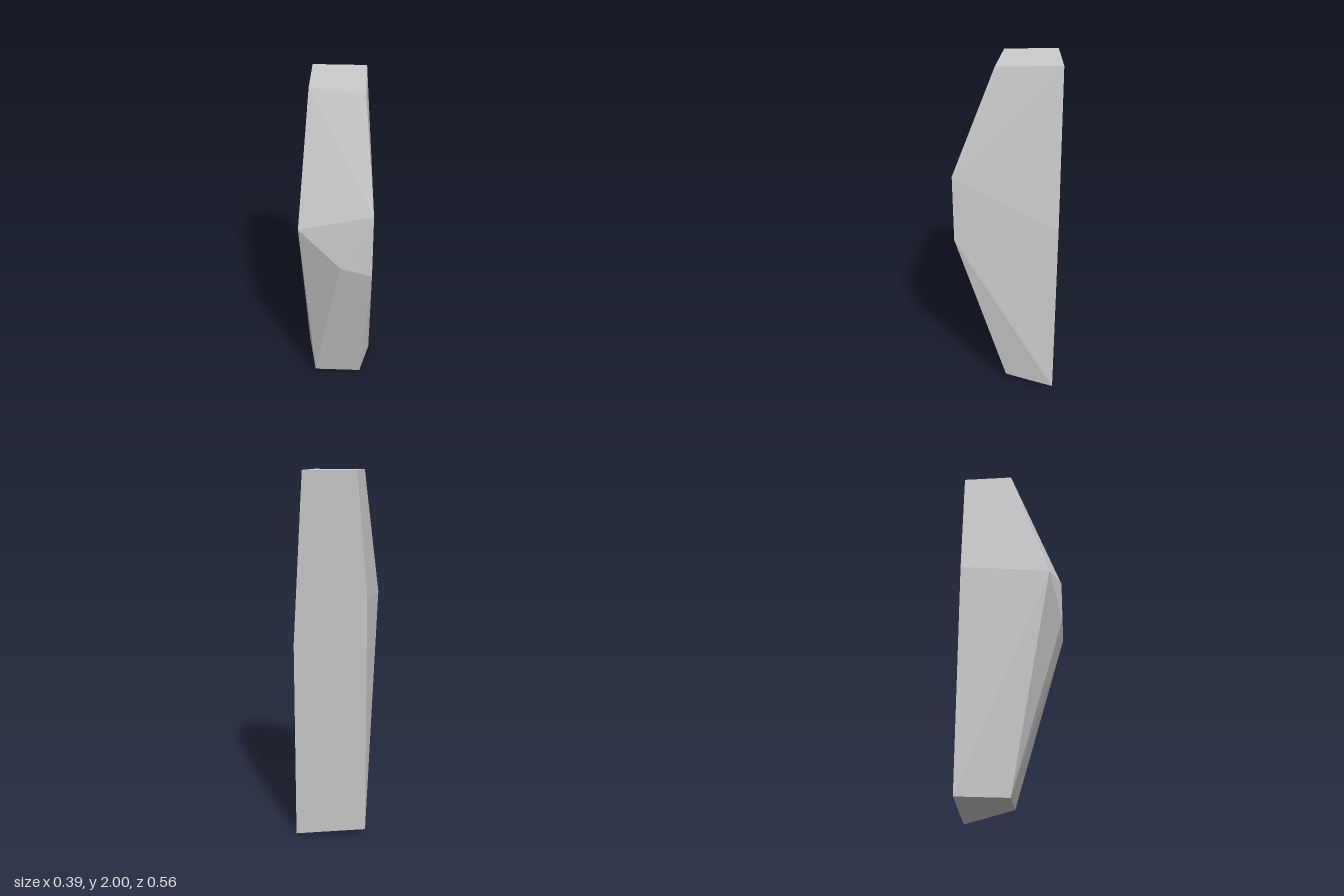
import * as THREE from 'three';
import { ConvexGeometry } from 'three/addons/geometries/ConvexGeometry.js';

export function createModel() {
  const group = new THREE.Group();
  group.name = 'standingStone';

  // Corners of the faceted stone, from the flat top down
  const corners = [
    // flat top
    [-0.14, 2, -0.28], [0.14, 2, -0.28], [-0.14, 2, 0], [0.14, 2, 0.055],
    // shoulders on the flat back
    [-0.195, 1.36, -0.28], [0.195, 1.1, -0.28],
    // bulge on the front
    [-0.195, 1.31, 0.22], [0.195, 1.44, 0.28], [0.195, 1.06, 0.28], [0.025, 1.11, 0.28],
    // slanted foot
    [-0.14, 0.06, 0], [0.14, 0.06, 0], [-0.195, 0.06, -0.28], [0.195, 0, -0.28],
  ].map(([x, y, z]) => new THREE.Vector3(x, y, z));

  const stone = new THREE.Mesh(
    new ConvexGeometry(corners),
    new THREE.MeshStandardMaterial({ color: 0xcccccc, flatShading: true }),
  );
  stone.name = 'stone';
  group.add(stone);
  return group;
}
